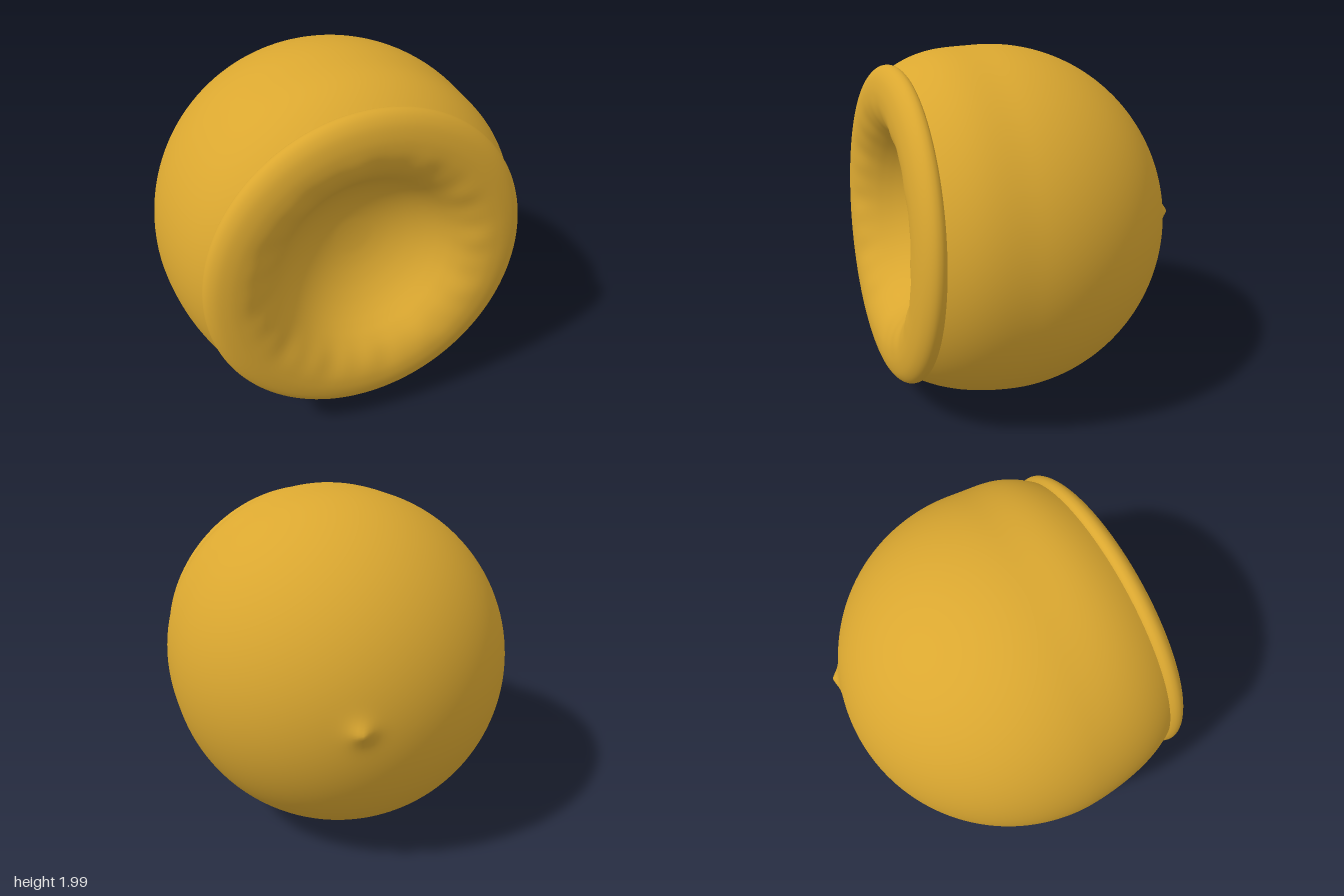
import * as THREE from 'three';
import { mergeVertices } from 'three/addons/utils/BufferGeometryUtils.js';

const R = 0.995; // body radius
const CZ = 0.13; // body centre along z
const NUB = new THREE.Vector3(0.29, 0.02, -0.822); // small bump on the back

// Rim section (radius, z): neck, soft lip, then the dished bowl
const RIM = [
  [0.86, 0.68], [0.871, 0.69], [0.879, 0.71], [0.876, 0.735], [0.858, 0.76], [0.825, 0.782],
  [0.78, 0.796], [0.73, 0.802], [0.67, 0.798], [0.61, 0.779], [0.555, 0.746], [0.505, 0.699],
  [0.46, 0.645], [0.415, 0.595], [0.36, 0.547], [0.29, 0.502], [0.21, 0.467], [0.13, 0.446],
  [0.06, 0.438], [0, 0.436],
];
const [NECK_R, NECK_Z] = RIM[0];

// Lathe around z, shape each vertex by a rule, and smooth across the seam
function turned(points, rule) {
  let geo = new THREE.LatheGeometry(points, 128);
  geo.rotateX(Math.PI / 2);
  geo.deleteAttribute('uv');
  geo.deleteAttribute('normal');
  geo = mergeVertices(geo, 1e-5);
  const pos = geo.attributes.position;
  const v = new THREE.Vector3();
  for (let i = 0; i < pos.count; i++) {
    v.fromBufferAttribute(pos, i);
    rule(v);
    pos.setXYZ(i, v.x, v.y, v.z);
  }
  geo.computeVertexNormals();
  return geo;
}

// The mouth leans up and to the side; w fades the lean into the body
function lean(v, w) {
  const dz = -0.062 * (v.x + v.y) * w;
  v.set(v.x + 0.028 * w, v.y + 0.038 * w, v.z + dz);
}

export function createModel() {
  const gold = new THREE.MeshStandardMaterial({ color: 0xdaa730 });
  gold.name = 'gold';
  const group = new THREE.Group();
  group.name = 'roundPot';

  const add = (name, geo) => {
    const mesh = new THREE.Mesh(geo, gold);
    mesh.name = name;
    mesh.position.y = 1;
    group.add(mesh);
  };

  // Round body from the back pole, straightening a little towards the neck
  const end = Math.PI - Math.acos((NECK_Z - CZ) / R);
  const flare = NECK_R - R * Math.sin(end);
  const outline = [];
  for (let i = 0; i <= 80; i++) {
    const a = (end * i) / 80;
    const z = CZ - R * Math.cos(a);
    const w = THREE.MathUtils.smoothstep(z, 0.2, NECK_Z);
    outline.push(new THREE.Vector2(R * Math.sin(a) + flare * w, z));
  }
  add('body', turned(outline, (v) => {
    const bump = 0.05 * Math.exp(-((v.distanceTo(NUB) / 0.055) ** 1.4));
    const out = new THREE.Vector3(v.x, v.y, v.z - CZ).normalize();
    v.addScaledVector(out, bump);
    lean(v, THREE.MathUtils.smoothstep(v.z, 0.15, NECK_Z));
  }));

  // Soft lip and bowl, with faint hand-shaped folds around the inner edge
  const section = new THREE.SplineCurve(RIM.map((p) => new THREE.Vector2(...p))).getPoints(80);
  section[80].x = 0;
  add('rimAndBowl', turned(section, (v) => {
    const r = Math.hypot(v.x, v.y);
    const a = Math.atan2(v.y, v.x);
    const fold = Math.exp(-(((r - 0.6) / 0.08) ** 2));
    v.z += fold * (0.003 * Math.sin(11 * a + 1) + 0.002 * Math.sin(23 * a));
    lean(v, 1);
  }));

  return group;
}
